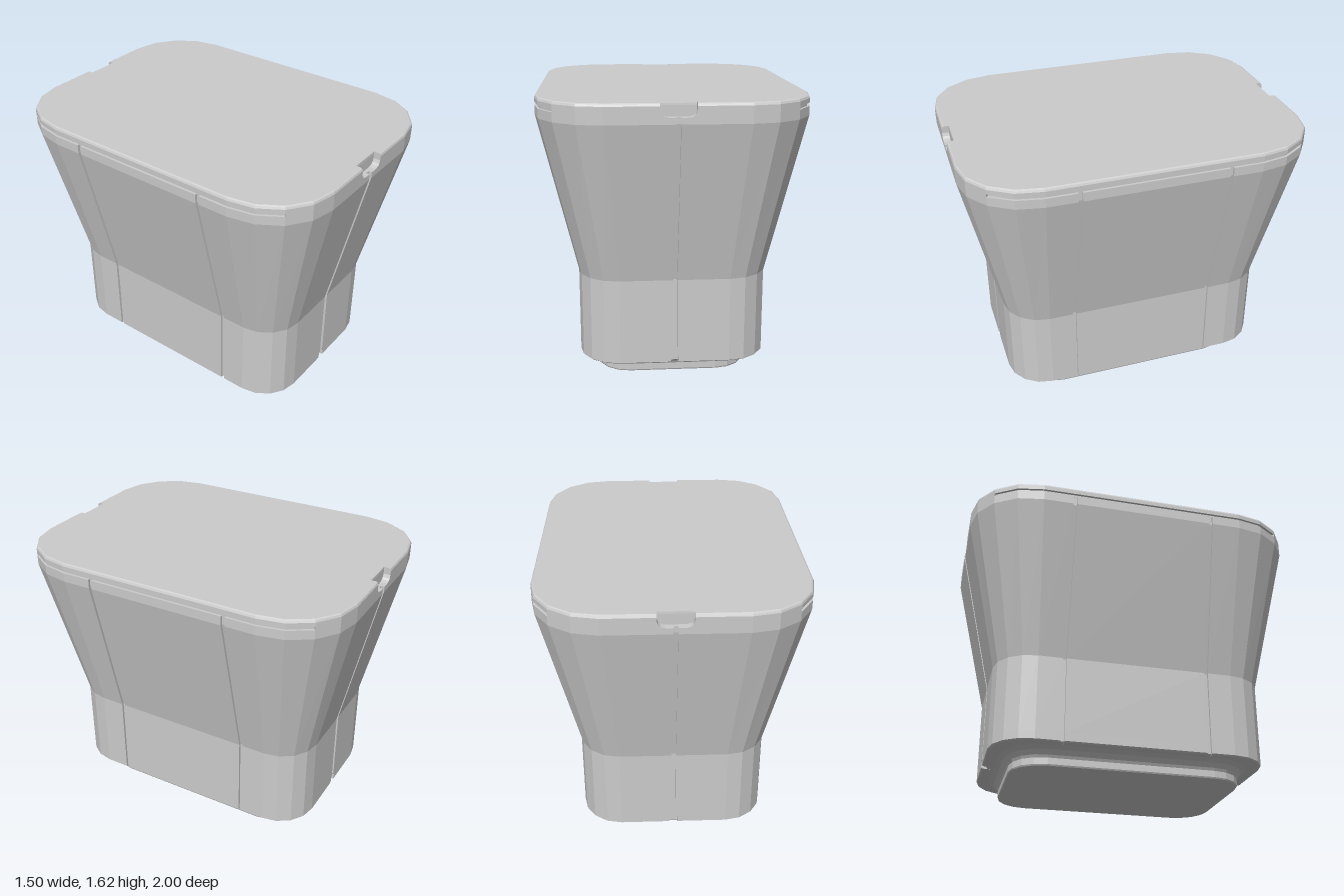
import * as THREE from 'three';

const material = new THREE.MeshStandardMaterial({ color: 0xcccccc, flatShading: true, side: THREE.DoubleSide });

// Rounded-rectangle outline. hx, hz: half sizes; cx, cz: where the corners start;
// w, d: front/back slot half width and depth; s: depth of the upright side
// grooves; b: depth of the level slot that wraps each side.
function outline({ hx, hz, cx, cz, w = 0.013, d = 0, s = 0, b = 0 }) {
  const q = [];
  const x = hx - b, z0 = 0.42 - 0.011, z1 = 0.42 + 0.011;
  q.push([x, z0], [x - s, z0], [x - s, z1], [x, z1]);
  const corner = (k, inset) => {
    const a = (k * Math.PI) / 8;
    q.push([cx + (hx - cx - inset) * Math.cos(a), cz + (hz - cz - inset) * Math.sin(a)]);
  };
  for (let k = 0; k <= 2; k++) corner(k, b);
  for (let k = 2; k <= 4; k++) corner(k, 0);
  q.push([w, hz], [w, hz - d]);
  const mirror = (sx, sz) => q.map(([px, pz]) => [px * sx, pz * sz]);
  return [...q, ...mirror(-1, 1).reverse(), ...mirror(-1, -1), ...mirror(1, -1).reverse()];
}

// Skin a stack of outlines from bottom to top.
function loft(name, rows) {
  const loops = rows.map(outline), n = loops[0].length;
  const positions = [], index = [];
  loops.forEach((loop, j) => loop.forEach(([x, z]) => positions.push(x, rows[j].y, z)));
  for (let j = 0; j < rows.length - 1; j++) {
    for (let i = 0; i < n; i++) {
      const a = j * n + i, b = j * n + ((i + 1) % n);
      index.push(a, a + n, b, b, a + n, b + n);
    }
  }
  const geometry = new THREE.BufferGeometry();
  geometry.setAttribute('position', new THREE.Float32BufferAttribute(positions, 3));
  geometry.setIndex(index);
  geometry.computeVertexNormals();
  const mesh = new THREE.Mesh(geometry, material);
  mesh.name = name;
  return mesh;
}

// Flat lid over an outline, facing up (1) or down (-1).
function cap(name, row, facing) {
  const shape = new THREE.Shape(outline(row).map(([x, z]) => new THREE.Vector2(x, -z * facing)));
  const geometry = new THREE.ShapeGeometry(shape);
  geometry.rotateX((-facing * Math.PI) / 2);
  geometry.translate(0, row.y, 0);
  const mesh = new THREE.Mesh(geometry, material);
  mesh.name = name;
  return mesh;
}

export function createModel() {
  const group = new THREE.Group();
  group.name = 'taperedContainer';

  const lower = { hx: 0.537, hz: 0.8, cx: 0.31, cz: 0.57 };
  const upper = { hx: 0.752, hz: 1, cx: 0.38, cz: 0.605 };
  const grooves = { d: 0.02, s: 0.015 };
  const hole = { w: 0.023, d: 0.03, s: 0.015 };

  // Foot with a concave cove under the body
  const foot = [[0, 0.433], [0.008, 0.437], [0.045, 0.437], [0.06, 0.445], [0.085, 0.466], [0.1, 0.495]]
    .map(([y, hx]) => ({ y, hx, hz: hx + 0.235, cx: 0.25, cz: 0.48 }));
  foot.push({ y: 0.106, ...lower, hx: 0.53, hz: 0.793, ...hole }, { y: 0.112, ...lower, ...hole });
  group.add(cap('footBottom', foot[0], -1), loft('foot', foot));

  // Straight lower wall, then the flared wall, with upright grooves
  group.add(loft('lowerWall', [
    { y: 0.112, ...lower, ...hole },
    { y: 0.145, ...lower, ...hole },
    { y: 0.158, ...lower, ...hole, w: 0.014 },
    { y: 0.158, ...lower, ...grooves },
    { y: 0.605, ...lower, ...grooves },
  ]));
  group.add(loft('flaredWall', [
    { y: 0.605, ...lower, ...grooves },
    { y: 1.51, ...upper, ...grooves },
  ]));

  // Rim: finger notches front and back, level slot along each side
  const d = 0.04, b = 0.014;
  const rim = [
    { y: 1.51, ...grooves },
    { y: 1.545, ...grooves },
    { y: 1.545, w: 0.055, d, s: 0.015 },
    { y: 1.552, w: 0.077, d, s: 0.015 },
    { y: 1.562, w: 0.088, d, s: 0.015 },
    { y: 1.562, w: 0.088, d, b },
    { y: 1.58, w: 0.095, d, b },
    { y: 1.58, w: 0.095, d },
    { y: 1.604, w: 0.095, d },
  ].map((row) => ({ ...upper, ...row }));
  // Bevelled top edge
  rim.push({ ...upper, y: 1.615, hx: 0.747, hz: 0.995, w: 0.095, d: 0.036 });
  rim.push({ ...upper, y: 1.62, hx: 0.738, hz: 0.986, w: 0.095, d: 0.028 });
  group.add(loft('rim', rim), cap('topPanel', rim[rim.length - 1], 1));

  return group;
}
